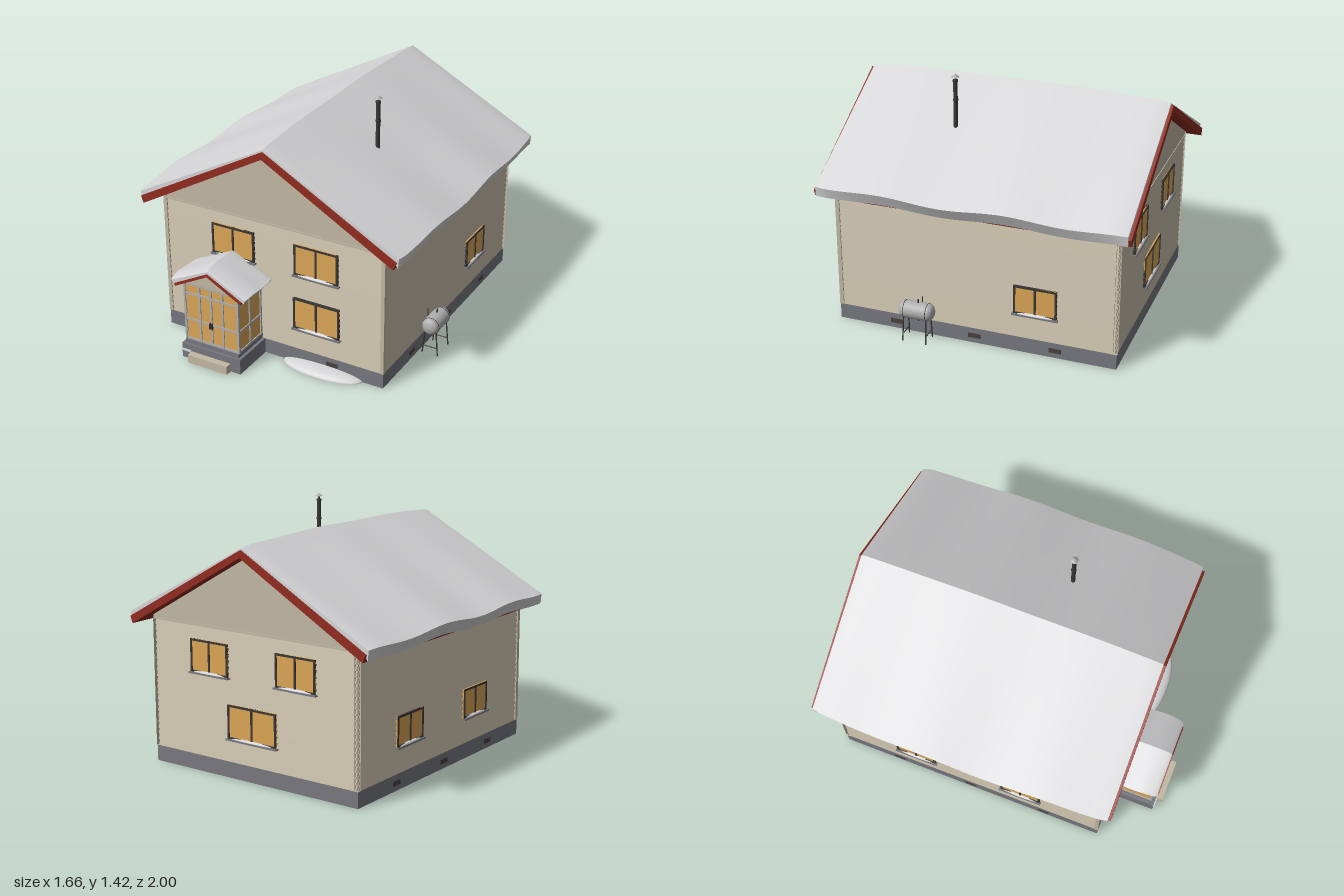
import * as THREE from 'three';
import { toCreasedNormals } from 'three/addons/utils/BufferGeometryUtils.js';

const mat = (name, color, side = THREE.FrontSide) => {
  const m = new THREE.MeshStandardMaterial({ color, side });
  m.name = name;
  return m;
};
const WALL = mat('beige siding', 0xc2b8a4);
const STONE = mat('grey foundation', 0x77787e);
const GLOW = mat('warm window', 0xdba556);
const DARK = mat('dark metal', 0x3a3836);
const RED = mat('red fascia', 0x922c20);
const SNOW = mat('snow', 0xd6d6d8);
const PALE = mat('pale grey frame', 0xb0b0b0);
const VENT = mat('brown vent', 0x4a403e);

const add = (parent, name, geo, m, x = 0, y = 0, z = 0) => {
  const mesh = new THREE.Mesh(geo, m);
  mesh.name = name;
  mesh.position.set(x, y, z);
  parent.add(mesh);
  return mesh;
};
// Box given by its extents on each axis
const box = (parent, name, m, x0, x1, y0, y1, z0, z1) =>
  add(parent, name, new THREE.BoxGeometry(x1 - x0, y1 - y0, z1 - z0), m, (x0 + x1) / 2, (y0 + y1) / 2, (z0 + z1) / 2);
// Outline in x and y, extruded from z0 to z1
const slab = (parent, name, m, pts, z0, z1) => {
  const shape = new THREE.Shape(pts.map(p => new THREE.Vector2(...p)));
  return add(parent, name, new THREE.ExtrudeGeometry(shape, { depth: z1 - z0, bevelEnabled: false }), m, 0, 0, z0);
};
// Thin round bar between two points
const rod = (parent, name, m, a, b, r) => {
  const path = new THREE.LineCurve3(new THREE.Vector3(...a), new THREE.Vector3(...b));
  return add(parent, name, new THREE.TubeGeometry(path, 1, r, 8), m);
};
const group = (parent, name, x = 0, y = 0, z = 0, rot = 0) => {
  const g = new THREE.Group();
  g.name = name;
  g.position.set(x, y, z);
  g.rotation.y = rot;
  parent.add(g);
  return g;
};

// Lapped boards, facing +z, centred on x
function siding(parent, width, y0, y1, count) {
  const pts = [[-0.01, y0]], h = (y1 - y0) / count;
  for (let i = 0; i < count; i++) pts.push([0.012, y0 + i * h], [0.002, y0 + (i + 1) * h]);
  pts.push([-0.01, y1]);
  const s = slab(parent, 'siding', WALL, pts, -width / 2, width / 2);
  s.rotation.y = -Math.PI / 2;
  s.position.set(width / 2, 0, -0.012);
}

// Two-pane window facing +z, sitting on y = 0
function windowUnit(parent, w, h, x, y, z, rot) {
  const g = group(parent, 'window', x, y, z, rot), f = 0.011;
  box(g, 'pane', GLOW, -w / 2, w / 2, 0, h, -0.012, 0.003);
  for (const c of [-w / 2 + f / 2, 0, w / 2 - f / 2])
    box(g, 'windowFrame', DARK, c - f / 2, c + f / 2, 0, h, -0.01, 0.008);
  for (const c of [f / 2, h - f / 2])
    box(g, 'windowFrame', DARK, -w / 2, w / 2, c - f / 2, c + f / 2, -0.01, 0.0075);
  box(g, 'sill', STONE, -w / 2 - 0.008, w / 2 + 0.008, -0.007, 0.002, -0.01, 0.018);
  const drift = add(g, 'sillSnow', new THREE.SphereGeometry(1, 16, 6, 0, Math.PI * 2, 0, Math.PI / 2), SNOW, 0, 0.002, 0.004);
  drift.scale.set(w * 0.44, 0.011, 0.012);
}

// Wavy snow blanket over a gable roof: closed loops across, strung along z
function snowRoof(parent, o) {
  const rows = 40, half = 10, pos = [], idx = [];
  const under = x => o.underTop - o.underSlope * Math.abs(x);
  let n = 0;
  for (let i = -1; i <= rows + 1; i++) {
    const t = Math.min(Math.max(i / rows, 0), 1), z = o.z0 + t * (o.z1 - o.z0);
    const swell = Math.sqrt(Math.sin(Math.PI * t)) || 0;
    const wave = Math.cos(t * Math.PI * 2 * o.waves + 0.6) * swell;
    const w = o.halfEnd + (o.halfMid - o.halfEnd) * swell;
    const loop = [[-o.inner, under(o.inner)], [-o.lip, o.lipY + wave * o.wave]];
    for (let k = -half; k <= half; k++) {
      const x = w * k / half, a = Math.abs(k) / half;
      loop.push([x, o.top + o.rise * swell - o.slope * Math.abs(x) + wave * o.wave * (0.3 + a)]);
    }
    loop.push([o.lip, o.lipY + wave * o.wave], [o.inner, under(o.inner)], [0, under(0)], [-o.inner, under(o.inner)]);
    n = loop.length;
    for (const [x, y] of loop) {
      const cx = Math.max(-o.inner, Math.min(o.inner, x));
      if (i < 0 || i > rows) pos.push(cx, under(cx), z);
      else pos.push(x, y, z);
    }
  }
  for (let i = 0; i < rows + 2; i++)
    for (let j = 0; j < n - 1; j++) {
      const a = i * n + j, b = a + 1, c = a + n, d = c + 1;
      idx.push(a, c, b, b, c, d);
    }
  const geo = new THREE.BufferGeometry();
  geo.setAttribute('position', new THREE.Float32BufferAttribute(pos, 3));
  geo.setIndex(idx);
  add(parent, 'roofSnow', toCreasedNormals(geo, 0.45), SNOW);
}

function buildHouse(root) {
  const g = group(root, 'house');
  box(g, 'foundation', STONE, -0.69, 0.69, 0, 0.09, -0.92, 0.7);
  // Walls with gables, lapped siding and trim
  slab(g, 'walls', WALL, [[-0.678, 0.09], [0.678, 0.09], [0.678, 0.86], [0, 1.24], [-0.678, 0.86]], -0.908, 0.688);
  const faces = [[0, 0, 0.7, 1.36], [Math.PI, 0, -0.92, 1.36], [Math.PI / 2, 0.69, -0.11, 1.6], [-Math.PI / 2, -0.69, -0.11, 1.6]];
  for (const [rot, x, z, w] of faces) siding(group(g, 'wallFace', x, 0, z, rot), w, 0.09, 0.82, 22);
  for (const z of [-0.92, 0.7]) {
    const s = Math.sign(z);
    const gable = slab(g, 'gable', WALL, [[-0.69, 0.82], [0.69, 0.82], [0.69, 0.853], [0, 1.24], [-0.69, 0.853]], 0, 0.012);
    gable.position.z = s > 0 ? z - 0.012 : z;
    box(g, 'gableTrim', WALL, -0.69, 0.69, 0.814, 0.824, z - 0.004, z + 0.004);
    for (const x of [-0.682, 0.682])
      box(g, 'cornerBoard', WALL, x - 0.011, x + 0.011, 0.09, 0.845, z - s * 0.02, z + s * 0.003);
  }
  // Windows: width, height, x, y, z, turn
  const R = Math.PI / 2;
  [[0.27, 0.185, -0.24, 0.555, 0.7, 0], [0.27, 0.185, 0.28, 0.555, 0.7, 0], [0.285, 0.19, 0.28, 0.22, 0.7, 0],
    [0.26, 0.185, 0.29, 0.555, -0.92, Math.PI], [0.26, 0.185, -0.295, 0.555, -0.92, Math.PI], [0.33, 0.19, 0, 0.22, -0.92, Math.PI],
    [0.245, 0.17, 0.69, 0.235, -0.46, R], [0.245, 0.17, -0.69, 0.235, -0.45, -R], [0.245, 0.17, -0.69, 0.235, 0.21, -R],
  ].forEach(w => windowUnit(g, ...w));
  // Foundation vents
  for (const z of [0.355, -0.11, -0.575])
    for (const x of [-0.69, 0.69]) box(g, 'vent', VENT, x - 0.003, x + 0.003, 0.03, 0.057, z - 0.035, z + 0.035);
  box(g, 'vent', VENT, 0.34, 0.41, 0.037, 0.063, 0.697, 0.703);
  // Roof
  slab(g, 'roofBoards', RED, [[0, 1.27], [-0.79, 0.83], [-0.775, 0.79], [0, 1.23], [0.775, 0.79], [0.79, 0.83]], -1, 0.777);
  snowRoof(g, { z0: -0.985, z1: 0.763, top: 1.28, rise: 0.028, slope: 0.533, halfEnd: 0.8, halfMid: 0.832,
    inner: 0.775, lip: 0.795, lipY: 0.797, underTop: 1.262, underSlope: 0.557, waves: 2.4, wave: 0.009 });
  // Chimney pipe
  const c = group(g, 'chimney', 0.34, 0, 0.125);
  add(c, 'pipe', new THREE.CylinderGeometry(0.012, 0.012, 0.33, 16), DARK, 0, 1.225, 0);
  for (const y of [1.275, 1.385]) add(c, 'pipeRing', new THREE.CylinderGeometry(0.015, 0.015, 0.01, 16), DARK, 0, y, 0);
  add(c, 'capStem', new THREE.CylinderGeometry(0.006, 0.006, 0.025, 8), DARK, 0, 1.4, 0);
  add(c, 'cap', new THREE.ConeGeometry(0.023, 0.018, 16), PALE, 0, 1.415, 0);
}

function buildPorch(root) {
  const g = group(root, 'porch', -0.24);
  box(g, 'porchBase', STONE, -0.19, 0.19, 0, 0.09, 0.69, 0.96);
  box(g, 'porchFloor', STONE, -0.172, 0.172, 0.09, 0.115, 0.69, 0.947);
  box(g, 'step', WALL, -0.127, 0.127, 0, 0.05, 0.95, 1);
  box(g, 'sideStepSnow', SNOW, -0.188, -0.13, 0.045, 0.056, 0.95, 0.967);
  box(g, 'glazing', GLOW, -0.168, 0.168, 0.115, 0.47, 0.69, 0.936);
  // Glazing bars
  const b = 0.006;
  for (const x of [-0.17, -0.074, 0, 0.074, 0.17]) box(g, 'frontBar', PALE, x - b, x + b, 0.115, 0.475, 0.928, 0.942);
  for (const y of [0.121, 0.245, 0.41, 0.469]) {
    box(g, 'frontRail', PALE, -0.17, 0.17, y - b, y + b, 0.93, 0.941);
    for (const s of [-1, 1]) box(g, 'sideRail', PALE, s * 0.168 - 0.006, s * 0.168 + 0.006, y - b, y + b, 0.7, 0.94);
  }
  for (const s of [-1, 1])
    for (const z of [0.71, 0.82, 0.932]) box(g, 'sideBar', PALE, s * 0.168 - 0.007, s * 0.168 + 0.007, 0.115, 0.475, z - b, z + b);
  for (const x of [-0.006, 0.006]) box(g, 'doorHandle', DARK, x - 0.0035, x + 0.0035, 0.225, 0.26, 0.94, 0.953);
  // Gable and roof
  slab(g, 'porchGable', WALL, [[-0.18, 0.472], [0.18, 0.472], [0, 0.566]], 0.69, 0.94);
  slab(g, 'porchRoofBoards', RED, [[0, 0.578], [-0.215, 0.465], [-0.21, 0.45], [0, 0.562], [0.21, 0.45], [0.215, 0.465]], 0.69, 0.97);
  snowRoof(g, { z0: 0.69, z1: 0.964, top: 0.592, rise: 0.016, slope: 0.48, halfEnd: 0.235, halfMid: 0.25,
    inner: 0.21, lip: 0.228, lipY: 0.46, underTop: 0.575, underSlope: 0.525, waves: 1.2, wave: 0.003 });
}

function buildTank(root) {
  const g = group(root, 'fuelTank', 0.76, 0.18, 0.2);
  const profile = [[0, -0.102], [0.025, -0.099], [0.042, -0.088], [0.05, -0.07], [0.05, 0.07], [0.042, 0.088], [0.025, 0.099], [0, 0.102]];
  const shell = add(g, 'tankShell', new THREE.LatheGeometry(profile.map(p => new THREE.Vector2(...p)), 24), PALE);
  shell.rotation.x = Math.PI / 2;
  for (const z of [-0.066, 0.066]) {
    add(g, 'tankBand', new THREE.TorusGeometry(0.05, 0.002, 6, 24), DARK, 0, 0, z);
    for (const s of [-1, 1]) rod(g, 'leg', DARK, [s * 0.033, -0.03, z], [s * 0.047, -0.18, z * 1.05], 0.004);
    rod(g, 'crossBar', DARK, [-0.04, -0.135, z], [0.04, -0.135, z], 0.003);
  }
  rod(g, 'fillerPipe', DARK, [0, 0.045, -0.01], [0, 0.075, -0.01], 0.005);
  // Feed line into the wall
  rod(g, 'feedLine', DARK, [-0.015, -0.04, 0], [-0.015, -0.075, 0], 0.003);
  rod(g, 'feedLine', DARK, [-0.013, -0.075, 0], [-0.075, -0.075, 0], 0.003);
  rod(g, 'ventPipe', DARK, [-0.055, -0.075, -0.01], [-0.055, 0.06, -0.01], 0.003);
}

export function createModel() {
  const root = new THREE.Group();
  root.name = 'snowyHouse';
  buildHouse(root);
  buildPorch(root);
  buildTank(root);
  // Snow drift against the front wall
  const drift = add(root, 'snowDrift', new THREE.SphereGeometry(1, 32, 8, 0, Math.PI * 2, 0, Math.PI / 2), SNOW, 0.32, 0, 0.7);
  drift.scale.set(0.245, 0.035, 0.09);
  return root;
}
